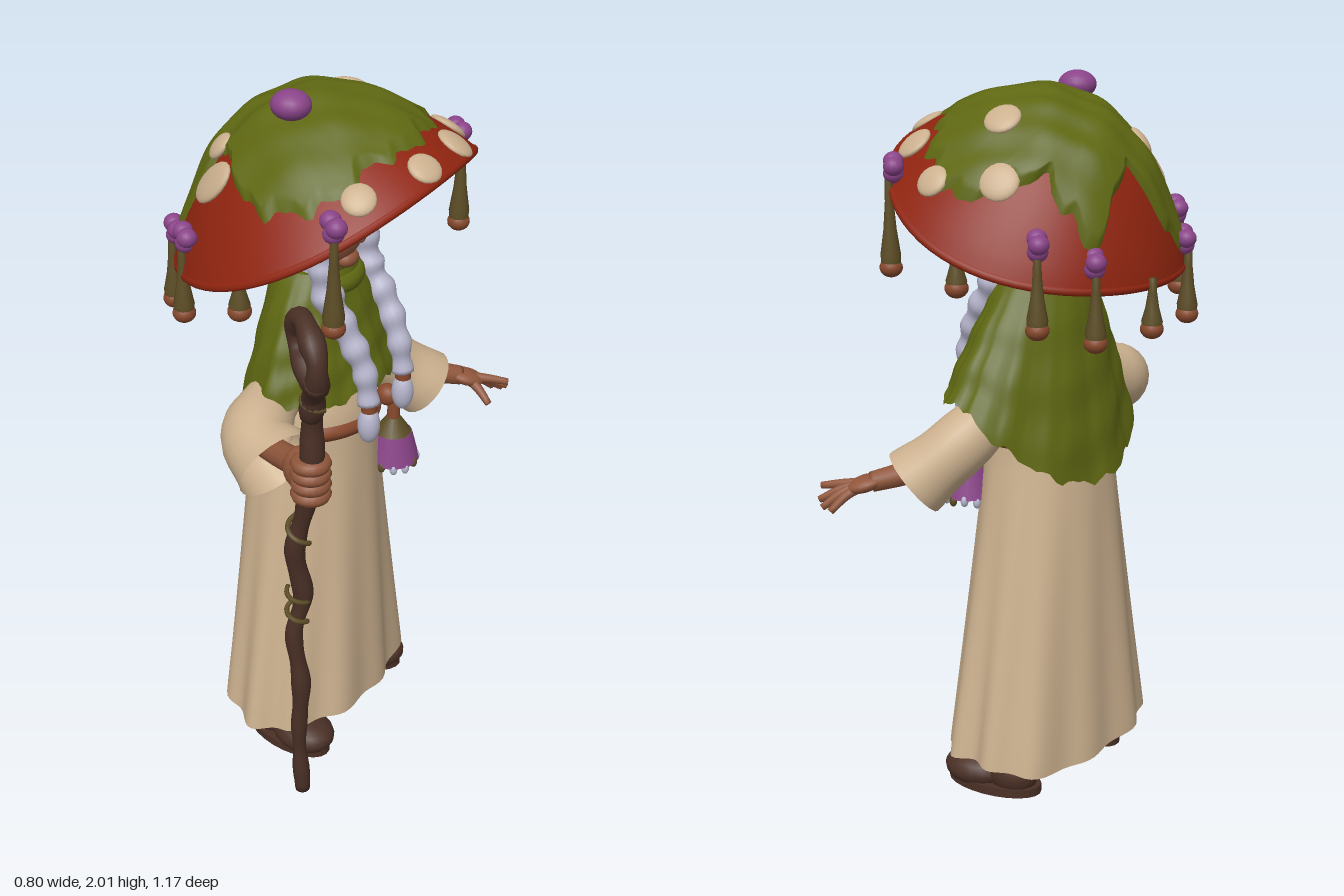
import * as THREE from 'three';
import { mergeVertices } from 'three/addons/utils/BufferGeometryUtils.js';

const V = (x, y, z) => new THREE.Vector3(x, y, z);
const { lerp, clamp, smoothstep } = THREE.MathUtils;
const { sin, cos, PI, abs, max, hypot } = Math;

function paint(name, color, side = THREE.FrontSide) {
  const m = new THREE.MeshStandardMaterial({ color, side });
  m.name = name;
  return m;
}

// Smooth surface from fn(angle, v); v runs upward or along the part
function sheet(fn, nu, nv) {
  const pos = [], idx = [];
  for (let j = 0; j <= nv; j++)
    for (let i = 0; i <= nu; i++) pos.push(...fn((i / nu) * 2 * PI, j / nv));
  for (let j = 0; j < nv; j++)
    for (let i = 0; i < nu; i++) {
      const p = j * (nu + 1) + i, q = p + nu + 1;
      idx.push(p, q, p + 1, p + 1, q, q + 1);
    }
  let g = new THREE.BufferGeometry();
  g.setAttribute('position', new THREE.Float32BufferAttribute(pos, 3));
  g.setIndex(idx);
  g = mergeVertices(g);
  g.computeVertexNormals();
  return g;
}

// Tube along points with a changing radius
function taper(points, radius, nu = 12, nv = 24, capped = true) {
  const curve = new THREE.CatmullRomCurve3(points.map(p => V(...p)));
  const f = curve.computeFrenetFrames(nv);
  return sheet((a, v) => {
    const j = Math.round(v * nv), end = j === 0 || j === nv;
    const k = capped ? clamp(j - 1, 0, nv - 2) : j, t = capped ? k / (nv - 2) : v;
    const r = capped && end ? 0 : radius(t);
    const p = curve.getPointAt(t);
    p.addScaledVector(f.normals[k], r * cos(a)).addScaledVector(f.binormals[k], -r * sin(a));
    return p.toArray();
  }, nu, nv);
}

export function createModel() {
  const root = new THREE.Group();
  const DS = THREE.DoubleSide;
  const red = paint('cap red', 0x8f240f), moss = paint('moss green', 0x5e6712, DS);
  const cloth = paint('cream cloth', 0xcbb08e, DS), hair = paint('silver hair', 0xb6b5cc);
  const skin = paint('brown skin', 0x90563b), wood = paint('dark wood', 0x4a3026);
  const purple = paint('berry purple', 0x8a4489), gill = paint('gill grey', 0xaa9e8e, DS);
  const olive = paint('olive stalk', 0x5c4d26), leather = paint('leather', 0x87482c);

  const add = (name, geo, mat, parent = root) => {
    const m = new THREE.Mesh(geo, mat);
    m.name = name;
    parent.add(m);
    return m;
  };
  const ball = (name, mat, p, s, parent = root) => {
    const m = add(name, new THREE.SphereGeometry(1, 18, 12), mat, parent);
    m.position.set(...p);
    m.scale.set(...s);
    return m;
  };

  // Robe with pleats that deepen toward the hem, narrowing into the chest
  const robe = (a, v, s = 1) => {
    const y = lerp(0.115, 1.3, v), k = clamp((y - 0.12) / 0.9, 0, 1);
    const pleat = 0.04 * (cos(11 * a + 0.6) + 0.6 * sin(5 * a)) + 0.045 * sin(2 * a) ** 2;
    const fold = (1 + (1 - k) * pleat) * s * (1 - 0.45 * smoothstep(y, 1.06, 1.3));
    return [lerp(-0.015, -0.01, k) + cos(a) * lerp(0.218, 0.168, k) * fold,
      y + 0.012 * (1 - k) * sin(3 * a), lerp(-0.025, -0.015, k) + sin(a) * lerp(0.335, 0.182, k) * fold];
  };
  add('robe', sheet(robe, 96, 24), cloth);
  add('robeBottom', sheet((a, v) => robe(a, 0, v), 96, 4), cloth);
  add('belt', sheet((a, v) => {
    const r = 0.004 + 0.012 * sin(v * PI);
    return [-0.01 + cos(a) * (0.168 + r), lerp(1.02, 1.065, v) + 0.006 * sin(2 * a), -0.015 + sin(a) * (0.182 + r)];
  }, 48, 6), leather);

  // Shoes
  for (const [z, dir] of [[0.19, 1], [-0.23, -1]]) {
    const shoe = new THREE.Group();
    shoe.name = 'shoe';
    shoe.position.set(0.02, 0, z);
    shoe.rotation.y = -0.2 * dir;
    root.add(shoe);
    ball('toe', wood, [0.055, 0.045, 0], [0.1, 0.052, 0.08], shoe);
    ball('heel', wood, [-0.06, 0.055, 0], [0.078, 0.065, 0.066], shoe);
    ball('ankle', wood, [-0.03, 0.1, 0], [0.075, 0.06, 0.062], shoe);
    const sole = add('sole', new THREE.CylinderGeometry(1, 1, 0.025, 24), wood, shoe);
    sole.position.y = 0.0125;
    sole.scale.set(0.145, 1, 0.074);
  }

  // Mossy cape, long at the back
  add('cape', sheet((a, v) => {
    const q = 1 - v, back = Math.pow(max(0, -cos(a)), 1.2);
    const hem = 1.175 - 0.24 * back + 0.008 * sin(17 * a) + 0.006 * sin(29 * a);
    const fold = 1 + 0.025 * q * sin(9 * a + 2 * v) + 0.012 * sin(21 * v + 3 * a);
    const rx = cos(a) > 0 ? 0.1 + 0.1 * q : 0.1 + 0.115 * Math.pow(q, 0.8);
    return [cos(a) * rx * fold, lerp(hem, 1.5, v), -0.015 - 0.035 * q
      + sin(a) * (0.115 + 0.205 * Math.pow(q, 0.8)) * fold];
  }, 96, 24), moss);
  const collar = add('collar', new THREE.TorusGeometry(0.1, 0.028, 10, 32), moss);
  collar.position.set(0, 1.47, -0.015);
  collar.rotation.set(PI / 2, -0.12, 0);

  // Bell sleeves and arms
  const bell = r => t => lerp(0.06, r, t) * (1 + 0.03 * sin(14 * t));
  add('rightSleeve', taper([[-0.01, 1.2, 0.08], [-0.025, 1.14, 0.22], [0, 1.105, 0.31], [0.08, 1.07, 0.345]],
    bell(0.112), 24, 20, false), cloth);
  add('leftSleeve', taper([[0, 1.2, -0.1], [0.015, 1.12, -0.24], [0.065, 1.035, -0.34], [0.14, 0.95, -0.41]],
    bell(0.098), 24, 20, false), cloth);
  add('rightForearm', taper([[0, 1.11, 0.31], [0.1, 1.13, 0.37], [0.2, 1.155, 0.425]], () => 0.036), skin);
  add('leftForearm', taper([[0.06, 1.03, -0.34], [0.15, 0.98, -0.43], [0.22, 0.955, -0.49]],
    t => 0.04 - 0.012 * t), skin);
  ball('rightPalm', skin, [0.215, 1.155, 0.435], [0.06, 0.064, 0.045]);
  for (let i = 0; i < 4; i++) {
    const f = add('grippingFinger', new THREE.TorusGeometry(0.034, 0.019, 8, 20), skin);
    f.position.set(0.245, 1.106 + i * 0.03, 0.457);
    f.rotation.x = PI / 2;
  }
  const palm = ball('leftPalm', skin, [0.235, 0.95, -0.5], [0.055, 0.022, 0.042]);
  palm.rotation.set(0, 0.7, -0.3);
  for (const [x, y, z] of [[0.345, 0.935, -0.555], [0.33, 0.905, -0.58], [0.31, 0.89, -0.59], [0.28, 0.885, -0.59], [0.325, 0.9, -0.465]])
    add('finger', taper([[0.235, 0.95, -0.5], [lerp(0.235, x, 0.55), lerp(0.95, y, 0.4), lerp(-0.5, z, 0.55)], [x, y, z]],
      t => 0.017 - 0.007 * t, 8, 10), skin);

  // Head and face
  ball('head', skin, [0.03, 1.61, -0.012], [0.1, 0.12, 0.092]);
  ball('nose', skin, [0.128, 1.595, -0.012], [0.017, 0.024, 0.015]);
  ball('chin', skin, [0.09, 1.52, -0.012], [0.03, 0.025, 0.038]);
  add('neck', new THREE.CylinderGeometry(0.045, 0.055, 0.16, 16), skin).position.set(0, 1.48, -0.01);
  for (const s of [-1, 1]) {
    const z = d => -0.015 + s * d;
    const eye = ball('eye', wood, [0.118, 1.628, z(0.036)], [0.005, 0.006, 0.013]);
    eye.rotation.y = -s * 0.4;
    // Side locks turning into braids
    add('braid', taper([[0.045, 1.73, z(0.01)], [0.075, 1.712, z(0.07)], [0.08, 1.64, z(0.11)], [0.08, 1.54, z(0.115)],
      [0.095, 1.45, z(0.112)], [0.15, 1.36, z(0.11)], [0.195, 1.26, z(0.1)], [0.212, 1.16, z(0.1)]],
    t => (t < 0.5 ? 0.024 + 0.032 * t : 0.054 - 0.026 * t) * (1 + (t > 0.35 ? 0.13 : 0.03) * sin(t * 52)), 12, 70), hair);
    const tie = add('braidTie', new THREE.CylinderGeometry(0.022, 0.022, 0.025, 12), leather);
    tie.position.set(0.213, 1.15, z(0.1));
    ball('braidTip', hair, [0.213, 1.095, z(0.1)], [0.031, 0.055, 0.03]);
  }
  ball('hairCrown', hair, [-0.022, 1.63, -0.012], [0.112, 0.115, 0.124]);
  add('backHair', taper([[-0.03, 1.65, -0.012], [-0.05, 1.55, -0.012], [-0.03, 1.42, -0.012]], t => 0.1 - 0.02 * t, 18, 14), hair);

  // Tilted mushroom cap, drooping at both sides
  const tilt = 0.42, hat = new THREE.Group();
  hat.name = 'mushroomHat';
  hat.position.set(0.01, 1.665, -0.02);
  hat.rotation.z = tilt;
  root.add(hat);
  const droop = z => -0.36 * z * z;
  const height = (x, z) => {
    const k = clamp(hypot(x, z) / 0.42, 0, 1);
    return 0.282 * Math.pow(max(0, cos(k * PI / 2)), 0.88) + 0.016 * sin(PI * k) + droop(z);
  };
  const polar = (r, a) => [r * cos(a), r * sin(a)];
  add('cap', sheet((a, v) => {
    const [x, z] = polar(0.42 * (1 - v), a);
    return [x, height(x, z), z];
  }, 64, 24), red, hat);
  add('rim', sheet((a, v) => {
    const [x, z] = polar(0.41 + 0.012 * cos(2 * PI * v), a);
    return [x, 0.012 * sin(2 * PI * v) + droop(z), z];
  }, 64, 8), red, hat);
  add('gills', sheet((a, v) => {
    const [x, z] = polar(0.412 * v, a);
    return [x, 0.14 * (1 - v * v) - 0.01 + droop(z), z];
  }, 64, 10), gill, hat);

  // Moss reach around the cap, every 15 degrees from the front
  const reach = [0.355, 0.36, 0.345, 0.37, 0.36, 0.345, 0.31, 0.23, 0.2, 0.29, 0.4, 0.36,
    0.21, 0.24, 0.36, 0.31, 0.25, 0.28, 0.34, 0.365, 0.35, 0.34, 0.325, 0.35];
  const mossEdge = a => {
    const k = a * 12 / PI, i = Math.floor(k), t = k - i;
    return lerp(reach[i % 24], reach[(i + 1) % 24], t * t * (3 - 2 * t)) + 0.009 * sin(19 * a) + 0.005 * sin(37 * a);
  };
  const mossLift = (x, z) => 0.018 + 0.006 * sin(31 * x + 4) * sin(27 * z + 1) + 0.003 * sin(60 * z + 30 * x);
  add('moss', sheet((a, v) => {
    const [x, z] = polar(mossEdge(a) * (1 - v), a);
    return [x, height(x, z) + (v === 0 ? -0.01 : mossLift(x, z)), z];
  }, 144, 32), moss, hat);

  // Pale warts: world x, z, radius, stretch, lift
  for (const [wx, wz, s, k, up] of [[0.25, -0.26, 0.052, 1, 0.004], [0.345, -0.1, 0.047, 1.1, 0], [0.345, 0.07, 0.045, 1, 0],
    [0.255, 0.235, 0.044, 1, 0.008], [-0.17, 0.215, 0.05, 1.5, 0.004], [-0.19, 0.14, 0.036, 1.2, 0.012], [-0.08, -0.31, 0.053, 1, 0.01],
    [0.1, -0.36, 0.045, 1, 0.01], [-0.005, -0.21, 0.05, 1, 0.018]]) {
    const z = wz + 0.02, e = 0.01;
    let x = wx - 0.01;
    for (let i = 0; i < 8; i++) x = (wx - 0.01 + height(x, z) * sin(tilt)) / cos(tilt);
    const nx = (height(x - e, z) - height(x + e, z)) / (2 * e), nz = (height(x, z - e) - height(x, z + e)) / (2 * e);
    const wart = ball('wart', cloth, [x, height(x, z) + up, z], [s * k, 0.016, s], hat);
    wart.quaternion.setFromUnitVectors(V(0, 1, 0), V(nx, 1, nz).normalize());
  }
  ball('topBerry', purple, [-0.005, 1.965, 0.11], [0.053, 0.038, 0.05]);

  // Hanging pods with berry clusters around the rim
  const pod = [[0, 1], [0.01, 1], [0.012, 0.7], [0.018, 0.4], [0.028, 0.12], [0.026, 0]];
  for (const [x, z, top, low, berries] of [[0.245, -0.365, 1.76, 1.49, 1], [0.24, 0.335, 1.76, 1.49, 1], [-0.225, -0.335, 1.61, 1.39, 1],
    [-0.325, -0.225, 1.56, 1.35, 1], [-0.335, 0.17, 1.56, 1.35, 1], [-0.225, 0.29, 1.61, 1.39, 1],
    [-0.015, 0.355, 1.63, 1.48, 0], [-0.015, -0.4, 1.63, 1.48, 0], [-0.375, -0.05, 1.52, 1.36, 0]]) {
    const h = top - low - 0.03;
    const stalk = add('podStalk', new THREE.LatheGeometry(pod.map(([r, y]) => new THREE.Vector2(r, y * h)).reverse(), 12), olive);
    stalk.position.set(x, low + 0.03, z);
    ball('podBulb', leather, [x, low + 0.025, z], [0.031, 0.026, 0.031]);
    if (berries) for (const [dx, dy, dz] of [[0.02, 0.03, 0.022], [-0.018, 0.025, -0.018], [0, 0.002, 0]])
      ball('berry', purple, [x * 0.97 + dx, top + dy, z * 0.97 + dz], [0.027, 0.025, 0.027]);
  }

  // Gnarled staff with a looped head
  const knobbly = t => 0.021 + 0.009 * t + 0.004 * sin(t * 41) * sin(t * 17);
  add('staff', taper([[0.19, 0.04, 0.41], [0.185, 0.25, 0.42], [0.195, 0.45, 0.425], [0.18, 0.62, 0.435], [0.2, 0.74, 0.42],
    [0.19, 0.9, 0.445], [0.225, 1.05, 0.45], [0.25, 1.2, 0.46], [0.25, 1.3, 0.46], [0.265, 1.4, 0.48], [0.31, 1.49, 0.545]],
  knobbly, 12, 70), wood);
  add('staffLoop', taper([[0.25, 1.34, 0.465], [0.275, 1.42, 0.49], [0.312, 1.5, 0.545], [0.31, 1.55, 0.545], [0.245, 1.61, 0.49],
    [0.205, 1.575, 0.45], [0.205, 1.53, 0.45], [0.245, 1.48, 0.48], [0.28, 1.43, 0.5]],
  t => 0.029 + 0.004 * sin(t * 30), 12, 50), wood);
  for (const [x, y, z, n] of [[0.19, 0.67, 0.43, 1.5], [0.205, 0.94, 0.446, 1], [0.262, 1.37, 0.472, 2]]) {
    const pts = [];
    for (let i = 0; i <= 16; i++) {
      const a = (i / 16) * n * 2 * PI;
      pts.push([x + 0.03 * cos(a), y + i * 0.006, z + 0.03 * sin(a)]);
    }
    add('vine', taper(pts, () => 0.007, 6, 40), olive);
  }

  // Belt tassel
  const tassel = new THREE.Group();
  tassel.name = 'tassel';
  tassel.position.set(0.165, 0, -0.16);
  root.add(tassel);
  ball('tasselKnot', leather, [-0.02, 1.04, 0], [0.034, 0.032, 0.03], tassel);
  add('tasselStrap', new THREE.CylinderGeometry(0.016, 0.022, 0.1, 12), leather, tassel).position.y = 0.98;
  add('tasselCup', new THREE.CylinderGeometry(0.02, 0.054, 0.05, 16), olive, tassel).position.y = 0.95;
  add('tasselSkirt', new THREE.CylinderGeometry(0.054, 0.076, 0.085, 20), purple, tassel).position.y = 0.885;
  for (let i = 0; i < 12; i++) {
    const a = i * PI / 6;
    ball('fringe', i % 3 ? hair : olive, [0.067 * cos(a), 0.842 - 0.008 * abs(sin(i * 2)), 0.067 * sin(a)], [0.011, 0.017, 0.011], tassel);
  }
  return root;
}
